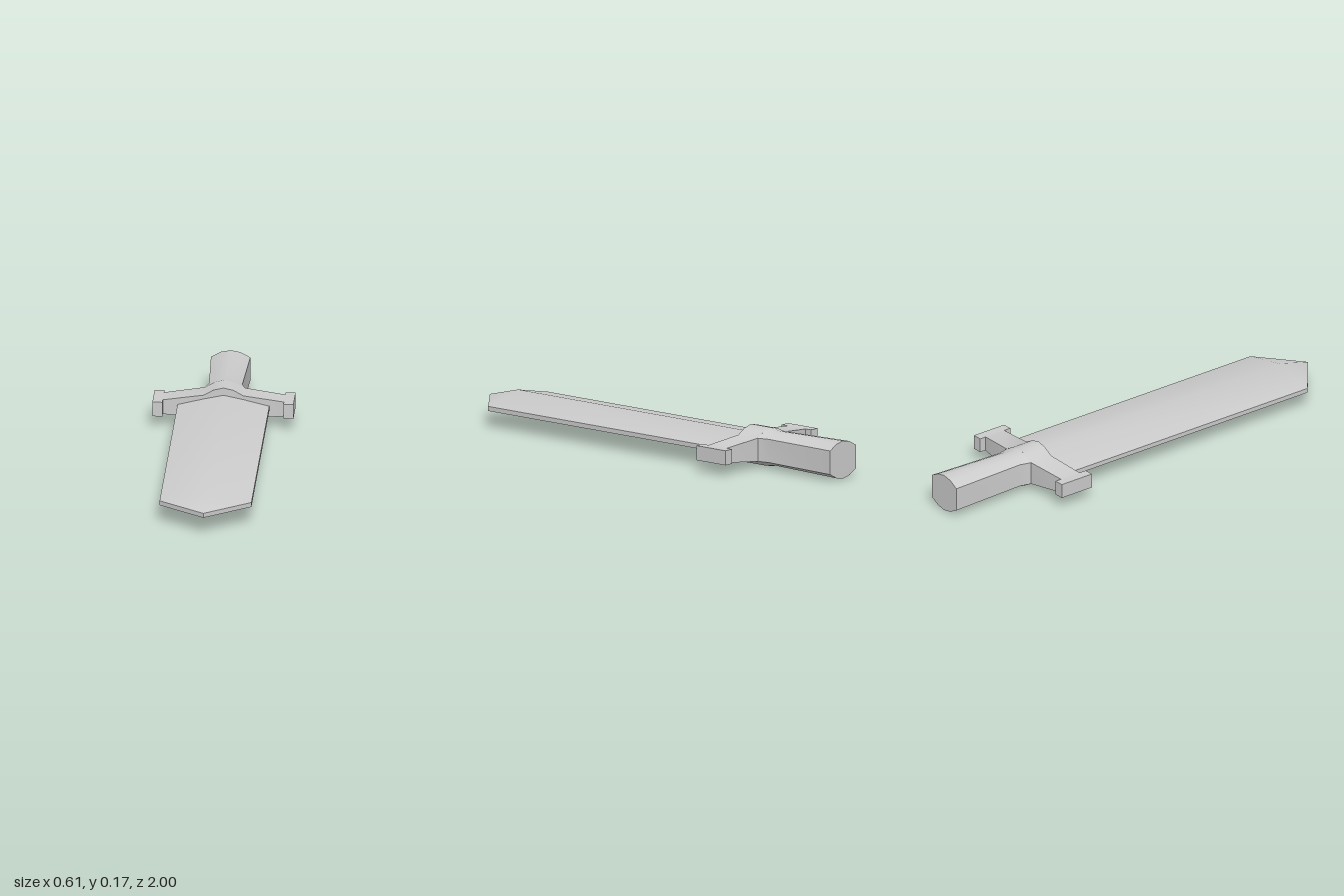
import * as THREE from 'three';
import { toCreasedNormals } from 'three/addons/utils/BufferGeometryUtils.js';

const MID = 0.085; // height of the sword's centre plane
const material = new THREE.MeshStandardMaterial({ color: 0xcccccc });

// Skin a row of loops (counter-clockwise seen from the last loop's end) and cap both ends.
function loft(name, loops) {
  const n = loops[0].length, pos = [];
  const tri = (a, b, c) => pos.push(...a, ...b, ...c);
  for (let s = 0; s < loops.length - 1; s++) {
    const a = loops[s], b = loops[s + 1];
    for (let i = 0; i < n; i++) {
      const j = (i + 1) % n;
      tri(a[i], a[j], b[j]);
      tri(a[i], b[j], b[i]);
    }
  }
  const first = loops[0], last = loops[loops.length - 1];
  for (let i = 1; i < n - 1; i++) {
    tri(first[0], first[i + 1], first[i]);
    tri(last[0], last[i], last[i + 1]);
  }
  const geometry = new THREE.BufferGeometry();
  geometry.setAttribute('position', new THREE.Float32BufferAttribute(pos, 3));
  const mesh = new THREE.Mesh(toCreasedNormals(geometry, 0.6), material);
  mesh.name = name;
  mesh.position.y = MID;
  return mesh;
}

export function createModel() {
  const group = new THREE.Group();
  group.name = 'sword';

  // Blade: flattened hexagon with a central ridge, closing to a vertical edge at the tip
  const bladeLoop = (z, w, edge, ridge) => [
    [w, -edge, z], [w, edge, z], [0, ridge, z],
    [-w, edge, z], [-w, -edge, z], [0, -ridge, z],
  ];
  group.add(loft('blade', [
    bladeLoop(-0.52, 0.198, 0.01, 0.052),
    bladeLoop(0.84, 0.198, 0.01, 0.052),
    bladeLoop(1, 0, 0.01, 0.01),
  ]));

  // Grip: flat sides with domed top and bottom, pinched just behind the guard
  const gripLoop = (z, w, side, shoulder, crown) => [
    [w, -side, z], [w, side, z], [w / 2, shoulder, z], [0, crown, z],
    [-w / 2, shoulder, z], [-w, side, z], [-w, -side, z],
    [-w / 2, -shoulder, z], [0, -crown, z], [w / 2, -shoulder, z],
  ];
  group.add(loft('grip', [
    gripLoop(-1, 0.085, 0.052, 0.075, 0.083),
    gripLoop(-0.64, 0.072, 0.051, 0.069, 0.076),
    gripLoop(-0.59, 0.085, 0.051, 0.075, 0.085),
  ]));

  // Crossguard: rectangles swept across x, thickest in the middle
  const half = [ // x, half height, back z, front z
    [0.043, 0.075, -0.59, -0.48],
    [0.085, 0.051, -0.59, -0.48],
    [0.262, 0.032, -0.565, -0.463],
  ];
  const stations = [
    ...half.map(([x, ...rest]) => [-x, ...rest]).reverse(),
    [0, 0.085, -0.59, -0.48],
    ...half,
  ];
  group.add(loft('crossguard', stations.map(([x, h, back, front]) => [
    [x, -h, back], [x, h, back], [x, h, front], [x, -h, front],
  ])));

  // Blocks closing the guard's ends
  for (const side of [1, -1]) {
    const block = new THREE.Mesh(new THREE.BoxGeometry(0.043, 0.064, 0.165), material);
    block.name = side > 0 ? 'leftGuardEnd' : 'rightGuardEnd';
    block.position.set(side * 0.2825, MID, -0.512);
    group.add(block);
  }
  return group;
}
